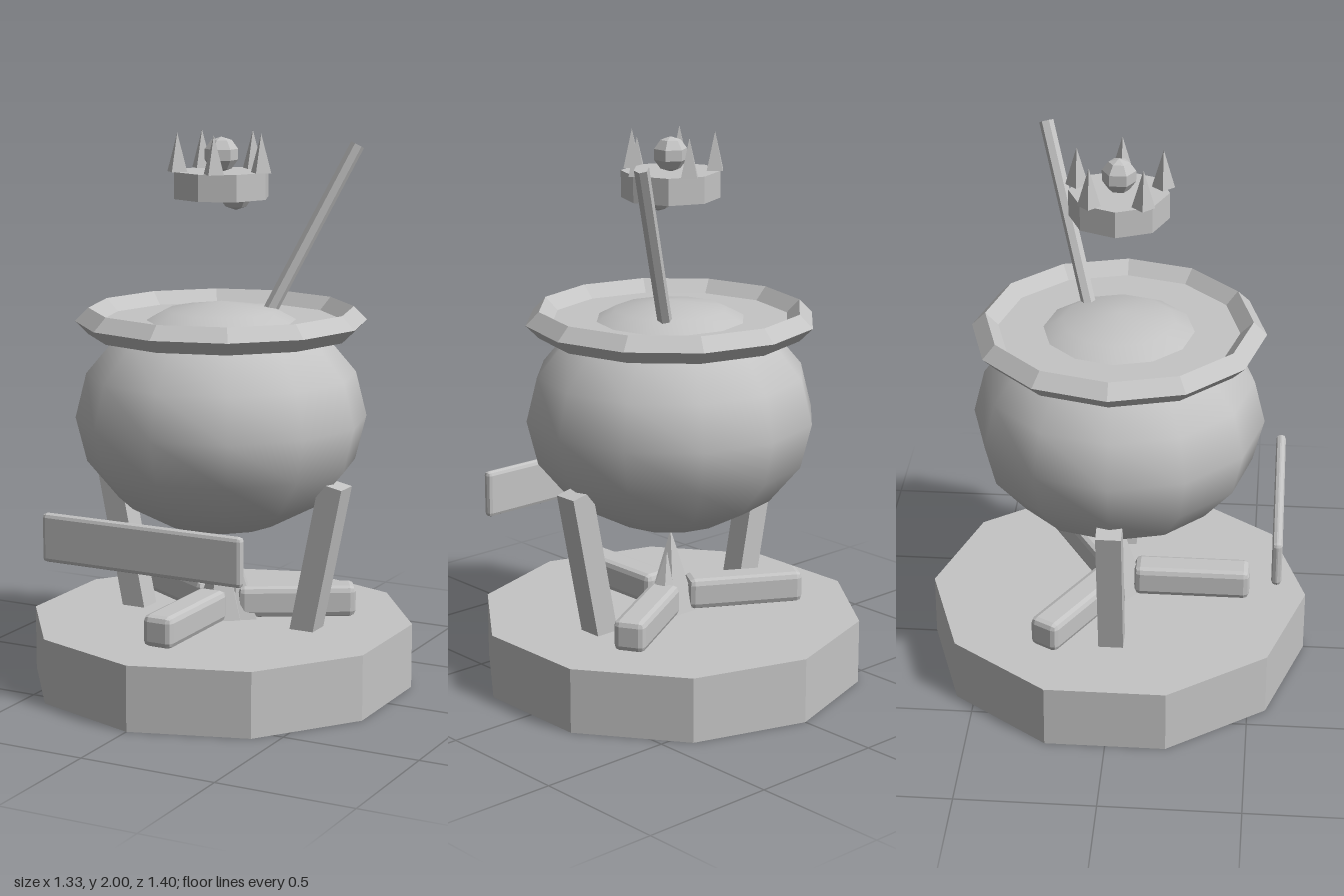
import * as THREE from 'three';
import { RoundedBoxGeometry } from 'three/addons/geometries/RoundedBoxGeometry.js';

export function createModel() {
  const model = new THREE.Group();
  const grey = new THREE.MeshStandardMaterial({ color: 0xc4c4c4 });
  grey.name = 'stone grey';

  // Faceted parts get per-face normals; smooth ones keep their own
  function add(name, geometry, x, y, z, { smooth = false, parent = model } = {}) {
    let g = geometry;
    if (!smooth) {
      if (g.index) g = g.toNonIndexed();
      g.computeVertexNormals();
    }
    const mesh = new THREE.Mesh(g, grey);
    mesh.name = name;
    mesh.position.set(x, y, z);
    parent.add(mesh);
    return mesh;
  }

  // Ten-sided plinth
  add('base', new THREE.CylinderGeometry(0.7, 0.7, 0.236, 10), 0, 0.118, 0);

  // Squashed round pot
  const pot = new THREE.SphereGeometry(0.525, 12, 8);
  pot.scale(1, 0.8, 1);
  add('pot', pot, 0, 0.98, 0, { smooth: true });

  // Diamond-section rim and the brew inside it
  add('rim', new THREE.TorusGeometry(0.475, 0.048, 4, 12).rotateX(Math.PI / 2), 0, 1.33, 0);
  add('brew', new THREE.CylinderGeometry(0.44, 0.44, 0.04, 12), 0, 1.312, 0);

  // Two slanted legs
  for (const side of [-1, 1]) {
    const leg = add('leg', new THREE.BoxGeometry(0.09, 0.6, 0.09), side * 0.395, 0.48, 0);
    leg.rotation.z = -side * 0.2;
  }

  // Three logs laid in a star
  for (let i = 0; i < 3; i++) {
    const log = new THREE.Group();
    log.name = 'log';
    log.rotation.y = i * Math.PI * 2 / 3;
    add('logBody', new RoundedBoxGeometry(0.115, 0.115, 0.43, 1, 0.022), 0, 0.296, 0.275, { parent: log });
    model.add(log);
  }

  // Flames under the pot
  add('flame', new THREE.ConeGeometry(0.1, 0.31, 5), 0, 0.385, 0);
  const sideFlame = add('sideFlame', new THREE.ConeGeometry(0.07, 0.25, 5), 0.06, 0.35, -0.03);
  sideFlame.rotation.z = 0.12;

  // Front sign board
  add('sign', new RoundedBoxGeometry(0.78, 0.175, 0.036, 1, 0.015), 0, 0.618, 0.588);

  // Stirring stick
  const from = new THREE.Vector3(0.1, 1.28, -0.096);
  const to = new THREE.Vector3(0.395, 1.95, -0.29);
  const along = to.clone().sub(from);
  const mid = from.clone().add(to).multiplyScalar(0.5);
  const stick = add('stick', new THREE.CylinderGeometry(0.026, 0.026, along.length(), 6), mid.x, mid.y, mid.z);
  stick.quaternion.setFromUnitVectors(new THREE.Vector3(0, 1, 0), along.normalize());

  // Floating crown with five spikes and two gems
  const crown = new THREE.Group();
  crown.name = 'crown';
  model.add(crown);
  add('crownBand', new THREE.CylinderGeometry(0.175, 0.175, 0.095, 8), 0, 1.816, 0, { parent: crown });
  for (let i = 0; i < 5; i++) {
    const a = i * Math.PI * 2 / 5;
    add('crownSpike', new THREE.ConeGeometry(0.04, 0.137, 4),
      Math.cos(a) * 0.157, 1.9315, Math.sin(a) * 0.157, { parent: crown });
  }
  for (const [x, y] of [[0, 1.922], [0.058, 1.79]]) {
    add('gem', new THREE.SphereGeometry(0.062, 6, 5).rotateY(Math.PI / 6), x, y, 0, { parent: crown });
  }

  return model;
}
